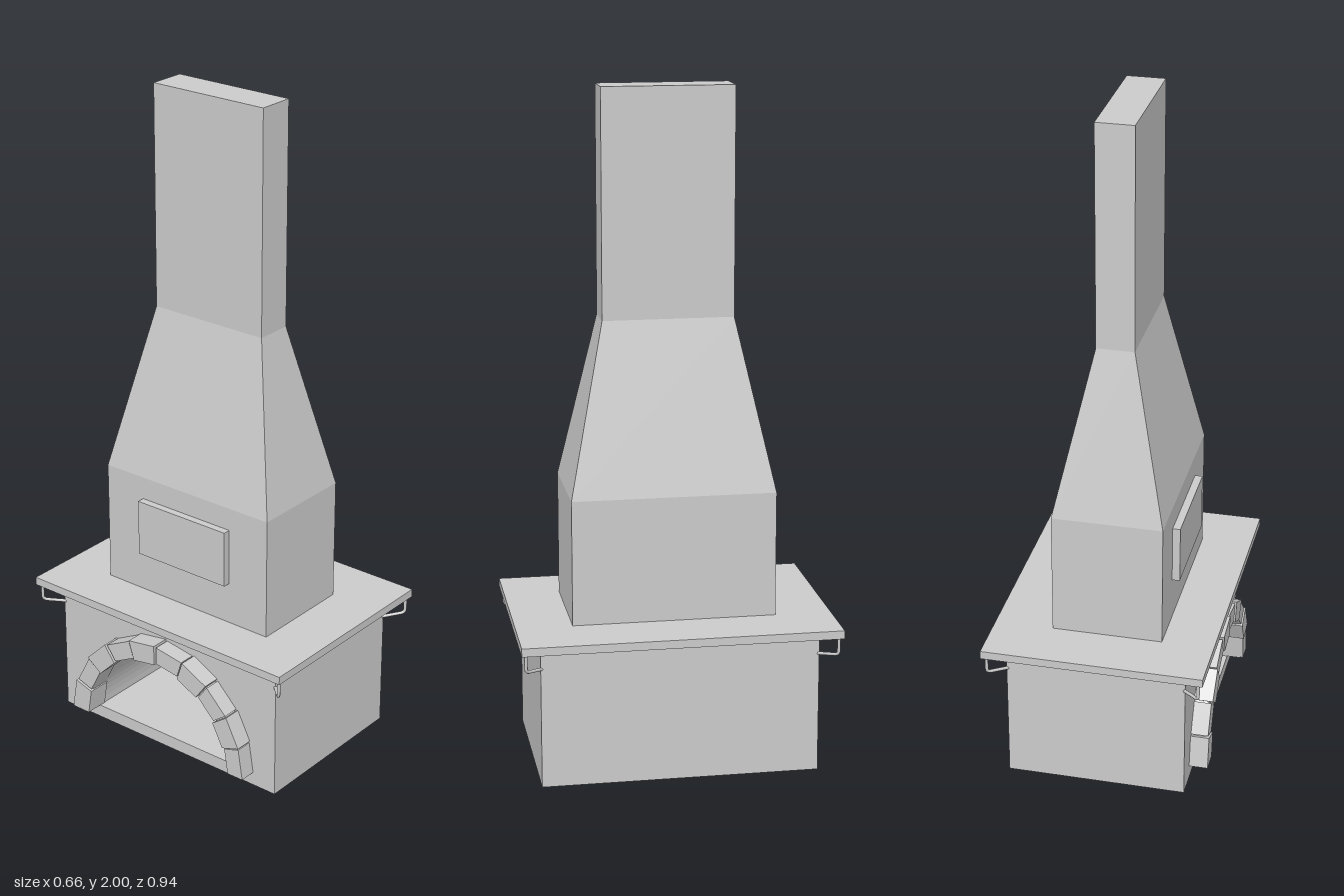
import * as THREE from 'three';

const material = new THREE.MeshStandardMaterial({ color: 0xcccccc, flatShading: true });
const smooth = new THREE.MeshStandardMaterial({ color: 0xcccccc });

function add(group, name, geometry, mat = material) {
  const mesh = new THREE.Mesh(geometry, mat);
  mesh.name = name;
  group.add(mesh);
  return mesh;
}

// Box given by its lower and upper corners
function boxBetween(a, b) {
  const g = new THREE.BoxGeometry(b[0] - a[0], b[1] - a[1], b[2] - a[2]);
  return g.translate((a[0] + b[0]) / 2, (a[1] + b[1]) / 2, (a[2] + b[2]) / 2);
}

// Extrudes a (z, y) outline towards -x, starting at x = start
function extrudeSide(shape, start, depth) {
  const g = new THREE.ExtrudeGeometry(shape, { depth, bevelEnabled: false, curveSegments: 20 });
  return g.rotateY(-Math.PI / 2).translate(start, 0, 0);
}

// Stacked rectangular sections: one box whose rows are moved onto the sections
function chimneyGeometry() {
  const rows = [
    { y: 0.45, x0: -0.175, x1: 0.155, z: 0.302 },
    { y: 0.825, x0: -0.175, x1: 0.155, z: 0.302 },
    { y: 1.33, x0: -0.068, x1: 0.045, z: 0.194 },
    { y: 2, x0: -0.068, x1: 0.045, z: 0.194 },
  ];
  const g = new THREE.BoxGeometry(1, 3, 1, 1, 3, 1);
  const p = g.attributes.position;
  for (let i = 0; i < p.count; i++) {
    const r = rows[Math.round(p.getY(i) + 1.5)];
    p.setXYZ(i, p.getX(i) < 0 ? r.x0 : r.x1, r.y, Math.sign(p.getZ(i)) * r.z);
  }
  const flat = g.toNonIndexed();
  flat.computeVertexNormals();
  return flat;
}

export function createModel() {
  const model = new THREE.Group();
  model.name = 'fireplace';

  const archY = 0.04, inner = 0.275, outer = 0.33;

  // Hearth body with a vaulted firebox opening on the -x side
  const body = new THREE.Group();
  body.name = 'hearthBody';
  const wall = new THREE.Shape();
  wall.moveTo(-0.41, 0).lineTo(0.41, 0).lineTo(0.41, 0.425).lineTo(-0.41, 0.425).closePath();
  const hole = new THREE.Path();
  hole.moveTo(inner, archY);
  hole.absarc(0, archY, inner, 0, Math.PI, false);
  hole.closePath();
  wall.holes.push(hole);
  add(body, 'fireboxWalls', extrudeSide(wall, 0.2, 0.468));
  add(body, 'backWall', boxBetween([0.2, 0, -0.41], [0.268, 0.425, 0.41]));
  model.add(body);

  // Arch of wedge stones around the opening
  const arch = new THREE.Group();
  arch.name = 'stoneArch';
  const stones = 10, step = Math.PI / stones, gap = 0.008;
  for (let i = 0; i < stones; i++) {
    const a = i * step + gap, b = (i + 1) * step - gap;
    const grow = i % 2 ? 0.004 : 0;
    const at = (r, t) => new THREE.Vector2(r * Math.cos(t), archY + r * Math.sin(t));
    const wedge = new THREE.Shape([
      at(inner - grow, a), at(outer + grow, a), at(outer + grow, b), at(inner - grow, b),
    ]);
    add(arch, 'archStone', extrudeSide(wedge, -0.25, 0.07 + grow));
  }
  // Thin mortar ring filling the joints
  const mortar = new THREE.Shape();
  mortar.absarc(0, archY, outer - 0.01, 0, Math.PI, false);
  mortar.absarc(0, archY, inner, Math.PI, 0, true);
  add(arch, 'archMortar', extrudeSide(mortar, -0.25, 0.06));
  model.add(arch);

  // Mantel slab, hood with chimney, and the panel on the hood
  add(model, 'mantelSlab', boxBetween([-0.33, 0.425, -0.47], [0.33, 0.45, 0.47]));
  add(model, 'chimney', chimneyGeometry());
  add(model, 'hoodPanel', boxBetween([-0.198, 0.58, -0.164], [-0.17, 0.755, 0.164]));

  // Bent rod brackets under the four slab corners
  for (const sx of [-1, 1]) {
    for (const sz of [-1, 1]) {
      const v = (x, y, z) => new THREE.Vector3(sx * x, y, sz * z);
      const path = new THREE.CurvePath();
      path.add(new THREE.LineCurve3(v(0.262, 0.362, 0.404), v(0.305, 0.371, 0.447)));
      path.add(new THREE.QuadraticBezierCurve3(
        v(0.305, 0.371, 0.447), v(0.315, 0.373, 0.457), v(0.315, 0.385, 0.457)));
      path.add(new THREE.LineCurve3(v(0.315, 0.385, 0.457), v(0.315, 0.43, 0.457)));
      add(model, 'cornerBracket', new THREE.TubeGeometry(path, 24, 0.005, 8), smooth);
    }
  }
  return model;
}
